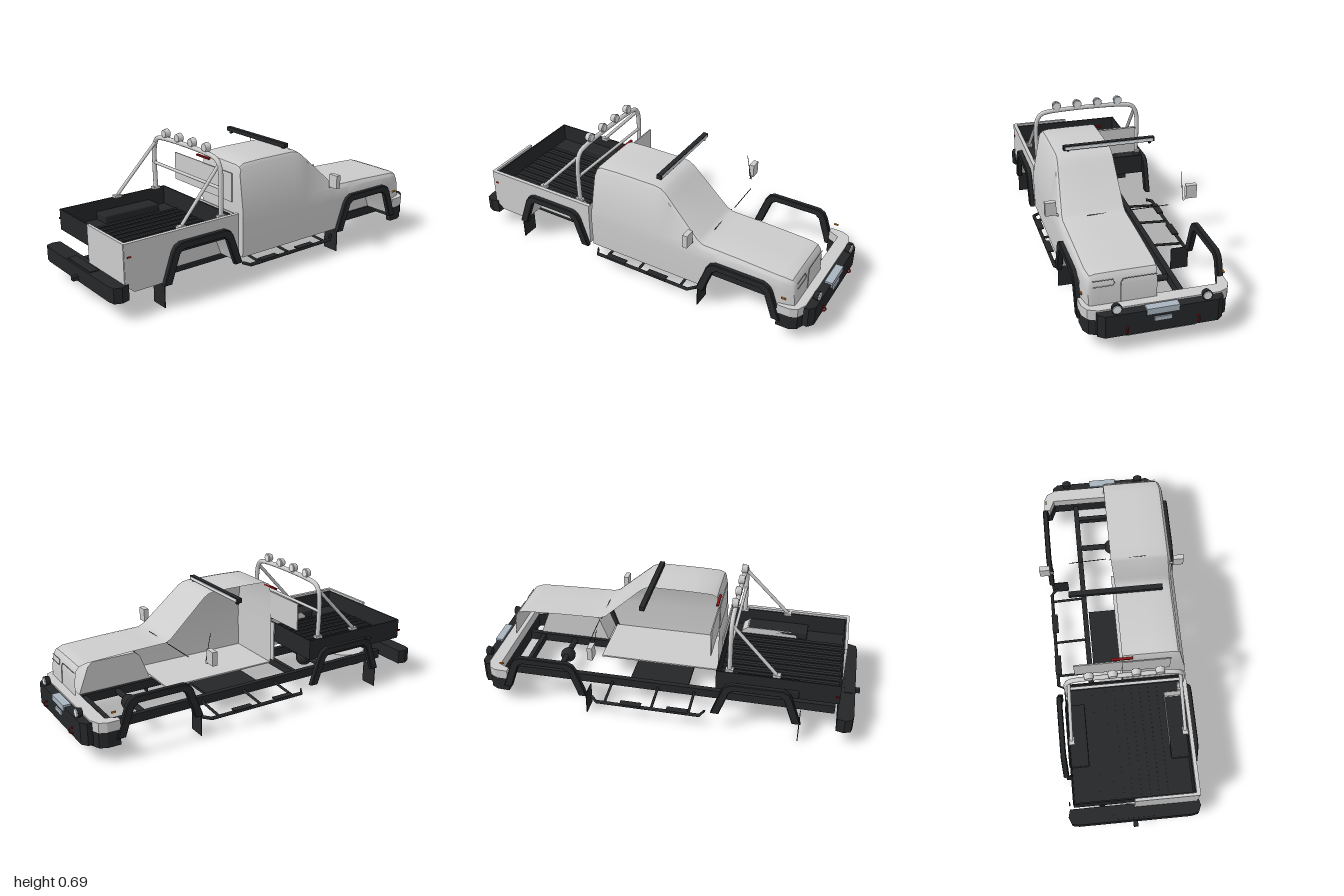
import * as THREE from 'three';
import { toCreasedNormals } from 'three/addons/utils/BufferGeometryUtils.js';
import { RoundedBoxGeometry } from 'three/addons/geometries/RoundedBoxGeometry.js';

const mat = (color, side = THREE.FrontSide) => new THREE.MeshStandardMaterial({ color, side });
const GREY = mat(0xcccccc), SHEET = mat(0xcccccc, THREE.DoubleSide);
const BLACK = mat(0x242628), LENS = mat(0xe4e8ec), SILVER = mat(0xa9b4c0);
const RED = mat(0x8a1212), AMBER = mat(0xd87a18);
const V = (x, y, z) => new THREE.Vector3(x, y, z);

// Half outline of a wheel arch, relative to the axle: [x, y]
const ARCH = [[-0.2, 0.12], [-0.145, 0.262], [-0.118, 0.284], [0.118, 0.284], [0.145, 0.262], [0.2, 0.12]];
const FRONT_AXLE = 0.61, REAR_AXLE = -0.49;
const archAt = cx => ARCH.map(([x, y]) => [x + cx, y]);

function lerpAt(table, x) {
  if (x <= table[0][0]) return table[0][1];
  for (let i = 1; i < table.length; i++) {
    const [x0, y0] = table[i - 1], [x1, y1] = table[i];
    if (x <= x1) return y0 + (y1 - y0) * (x - x0) / (x1 - x0);
  }
  return table[table.length - 1][1];
}

// Surface through equal-length rows of points
function loft(rows, crease = 0.6) {
  const n = rows[0].length, idx = [];
  for (let i = 0; i < rows.length - 1; i++) for (let j = 0; j < n - 1; j++) {
    const a = i * n + j, b = a + n;
    idx.push(a, a + 1, b, b, a + 1, b + 1);
  }
  const g = new THREE.BufferGeometry().setFromPoints(rows.flat());
  g.setIndex(idx);
  return toCreasedNormals(g, crease);
}

const shapeOf = pts => new THREE.Shape(pts.map(p => new THREE.Vector2(...p)));

export function createModel() {
  const model = new THREE.Group();
  const add = (name, geo, material, pos = [0, 0, 0], rot = [0, 0, 0]) => {
    const m = new THREE.Mesh(geo, material);
    m.name = name;
    m.position.set(...pos);
    m.rotation.set(...rot);
    model.add(m);
    return m;
  };
  // Box from min/max extents, optionally rounded
  const box = (name, material, x0, x1, y0, y1, z0, z1, r = 0) => {
    const s = [x1 - x0, y1 - y0, z1 - z0];
    return add(name, r ? new RoundedBoxGeometry(...s, 2, r) : new THREE.BoxGeometry(...s), material,
      [(x0 + x1) / 2, (y0 + y1) / 2, (z0 + z1) / 2]);
  };
  const tube = (name, pts, r, material, smooth = false) => {
    const v = pts.map(p => V(...p));
    let path;
    if (smooth) path = new THREE.CatmullRomCurve3(v, false, 'centripetal');
    else {
      path = new THREE.CurvePath();
      v.slice(1).forEach((p, i) => path.add(new THREE.LineCurve3(v[i], p)));
    }
    return add(name, new THREE.TubeGeometry(path, smooth ? 60 : 12, r, 10), material);
  };
  const SIDES = [1, -1];

  // Cab and bonnet: half shell on the +z side, lofted along x
  const top = [[-0.245, 0.36], [-0.242, 0.45], [-0.236, 0.56], [-0.228, 0.58], [-0.205, 0.593], [-0.1, 0.597], [0.11, 0.597],
    [0.145, 0.59], [0.17, 0.575], [0.2, 0.547], [0.37, 0.388], [0.4, 0.374], [0.6, 0.369], [0.83, 0.359],
    [0.865, 0.349], [0.88, 0.33], [0.888, 0.29], [0.893, 0.2]];
  const xs = [...new Set([...top, ...archAt(FRONT_AXLE)].map(p => p[0]))].sort((a, b) => a - b);
  const rows = xs.map(x => {
    const h = lerpAt(top, x), b = lerpAt(archAt(FRONT_AXLE), x);
    const nose = 0.02 * Math.max(0, (x - 0.8) / 0.09) ** 2;
    const w = y => 0.327 - Math.max(0, y - 0.36) * 0.15 - nose;
    const p = (z, y) => V(x, Math.max(y, b), z);
    const belt = Math.min(0.35, h - 0.03);
    return [p(0, h), p(w(h) * 0.5, h), p(w(h) - 0.04, h - 0.002), p(w(h) - 0.014, h - 0.008), p(w(h) - 0.003, h - 0.022),
      p(w(belt), belt), p(w(0) + 0.004, Math.min(0.29, h - 0.05)), p(w(0), 0.125)];
  });
  const flatten = row => row.map(v => V(v.x, v.y, 0));
  add('cabAndBonnet', loft([flatten(rows[0]), ...rows, flatten(rows[rows.length - 1])]), SHEET);
  box('cabFloor', GREY, -0.24, 0.4, 0.122, 0.13, 0, 0.32);
  box('rearWindow', GREY, -0.245, -0.239, 0.39, 0.536, -0.245, 0);
  box('rearWindowInnerHalf', GREY, -0.249, -0.244, 0.39, 0.536, 0, 0.245);
  box('highBrakeLight', RED, -0.245, -0.232, 0.56, 0.568, -0.053, 0.053);
  // Seams of the nose panels
  tube('grilleSeam', [[0.894, 0.21, 0.167], [0.89, 0.31, 0.167], [0.889, 0.32, 0.155], [0.889, 0.32, 0]], 0.002, GREY);
  tube('lampSeam', [[0.887, 0.323, 0.295], [0.887, 0.323, 0.2], [0.891, 0.295, 0.193], [0.891, 0.295, 0.295]], 0.002, GREY);

  // Wheel wells behind the arches
  for (const [cx, inner] of [[FRONT_AXLE, 0.17], [REAR_AXLE, 0.21]]) {
    const a = archAt(cx);
    add('wheelWell', loft([a.map(p => V(...p, inner)), a.map(p => V(...p, 0.32))]), SHEET);
    add('wheelWellWall', new THREE.ShapeGeometry(shapeOf(a)), SHEET, [0, 0, inner]);
  }

  // Load bed: outer side with arch, half tailgate and dark liner
  const side = shapeOf([[-0.905, 0.16], [-0.86, 0.12], ...archAt(REAR_AXLE), [-0.265, 0.12], [-0.265, 0.357], [-0.905, 0.357]]);
  add('bedSide', new THREE.ExtrudeGeometry(side, { depth: 0.02, bevelEnabled: false }), GREY, [0, 0, 0.305]);
  box('tailgate', GREY, -0.908, -0.893, 0.13, 0.357, 0, 0.322);
  box('bedFrontPanel', GREY, -0.272, -0.265, 0.13, 0.35, 0, 0.32);
  box('bedFloor', BLACK, -0.893, -0.28, 0.238, 0.248, -0.305, 0.305);
  for (const x of [-0.893, -0.287]) box('bedLinerEnd', BLACK, x, x + 0.007, 0.24, 0.345, -0.305, 0.305);
  for (const s of SIDES) {
    const z = s * 0.302;
    box('bedLinerSide', BLACK, -0.893, -0.28, 0.24, 0.345, z - 0.003, z + 0.003);
    box('bedWheelBox', BLACK, -0.695, -0.375, 0.24, 0.287, s > 0 ? 0.21 : -0.312, s > 0 ? 0.304 : -0.21, 0.008);
    box('tailMarker', RED, -0.89, -0.87, 0.287, 0.295, s * 0.324 - 0.003, s * 0.324 + 0.003);
  }
  for (let i = 0; i < 9; i++) box('floorRib', BLACK, -0.885, -0.29, 0.247, 0.254, -0.185 + i * 0.045, -0.165 + i * 0.045);

  // Fender flares, mud flaps, chassis rails, side steps, mirrors
  const outer = [[-0.222, 0.115], [-0.17, 0.262], [-0.155, 0.286], [-0.128, 0.3], [0.128, 0.3], [0.155, 0.286], [0.17, 0.262], [0.222, 0.115]];
  const inner = [[0.187, 0.115], [0.139, 0.252], [0.115, 0.271], [-0.115, 0.271], [-0.139, 0.252], [-0.187, 0.115]];
  const flare = new THREE.ExtrudeGeometry(shapeOf([...outer, ...inner]),
    { depth: 0.02, bevelSize: 0.004, bevelThickness: 0.004, bevelSegments: 1 });
  for (const s of SIDES) {
    for (const cx of [FRONT_AXLE, REAR_AXLE]) {
      add('fenderFlare', flare, BLACK, [cx, 0, s * 0.338 - 0.01]);
      const fx = cx - 0.219;
      box('mudFlap', BLACK, fx - 0.002, fx + 0.002, 0, 0.12, s * 0.2935 - 0.0465, s * 0.2935 + 0.0465);
    }
    box('chassisRail', BLACK, -0.88, 0.9, 0.075, 0.122, s * 0.165 - 0.014, s * 0.165 + 0.014);
    tube('sideStep', [[-0.225, 0.085, s * 0.31], [-0.235, 0.083, s * 0.33], [-0.215, 0.082, s * 0.344],
      [0.34, 0.082, s * 0.344], [0.365, 0.083, s * 0.332], [0.37, 0.085, s * 0.31]], 0.009, BLACK);
    for (const x of [-0.15, 0.045, 0.293]) tube('stepBracket', [[x, 0.095, s * 0.17], [x, 0.082, s * 0.344]], 0.007, BLACK);
    for (const x of [-0.09, 0.155]) box('stepPad', BLACK, x - 0.055, x + 0.055, 0.088, 0.094, s * 0.338 - 0.017, s * 0.338 + 0.017);
    box('mirror', GREY, 0.327, 0.353, 0.375, 0.445, s * 0.3585 - 0.0275, s * 0.3585 + 0.0275);
    tube('mirrorStalk', [[0.345, 0.366, s * 0.315], [0.34, 0.385, s * 0.345]], 0.006, GREY);
    box('sideMarker', AMBER, 0.83, 0.852, 0.241, 0.249, s * 0.333 - 0.003, s * 0.333 + 0.003);
  }
  for (const x of [-0.86, -0.3, 0.79]) box('crossMember', BLACK, x - 0.012, x + 0.012, 0.08, 0.118, -0.16, 0.16);
  box('gearboxGuard', BLACK, -0.105, 0.213, 0.064, 0.078, -0.145, 0.145);
  tube('antenna', [[0.348, 0.375, -0.313], [0.32, 0.512, -0.313]], 0.0015, BLACK);
  for (const [a, b] of [[-0.225, -0.025], [-0.01, 0.19]]) tube('wiper', [[0.39, 0.374, a], [0.396, 0.376, b]], 0.002, BLACK);

  // Axle housings and spare wheel
  add('rearDifferential', new THREE.SphereGeometry(0.046, 16, 12), BLACK, [-0.5, 0.09, 0.03]);
  add('frontDifferential', new THREE.SphereGeometry(0.041, 16, 12), BLACK, [0.605, 0.09, 0.02]);
  for (const x of [-0.5, 0.605]) tube('axle', [[x, 0.1, -0.15], [x, 0.1, 0.15]], 0.016, BLACK);
  add('spareWheel', new THREE.CylinderGeometry(0.127, 0.127, 0.065, 32), GREY, [-0.757, 0.075, 0]);

  // Bumper plan outlines extruded upwards: pairs of [x, z], mirrored over z
  const slab = (name, half, y0, y1, material) => {
    const pts = [...half, ...half.map(([x, z]) => [x, -z]).reverse()].map(([x, z]) => [x, -z]);
    const g = new THREE.ExtrudeGeometry(shapeOf(pts), { depth: y1 - y0, bevelEnabled: false });
    add(name, g.rotateX(-Math.PI / 2), material, [0, y0, 0]);
  };
  const wrap = [[0.87, 0.29], [0.815, 0.315], [0.815, 0.345], [0.88, 0.343], [0.915, 0.325], [0.935, 0.28]];
  slab('frontBumper', wrap, 0.155, 0.205, GREY);
  slab('frontBumperLower', wrap.map(([x, z]) => [x, z * 0.985]), 0.076, 0.155, BLACK);
  slab('winchBumper', [[0.92, 0.29], [0.955, 0.29], [0.978, 0.26]], 0.086, 0.197, BLACK);
  box('fairlead', SILVER, 0.945, 0.984, 0.176, 0.207, -0.075, 0.075);
  box('numberPlate', SILVER, 0.976, 0.985, 0.14, 0.161, -0.04, 0.04);
  const skid = [[0.81, 0.066], [0.955, 0.08]];
  add('skidPlate', loft([-0.162, 0.162].map(z => skid.map(p => V(...p, z)))), SHEET);
  box('skidLip', SILVER, 0.95, 0.962, 0.07, 0.082, -0.162, 0.162);
  slab('rearBumper', [[-0.89, 0.33], [-0.93, 0.34], [-0.965, 0.325], [-0.972, 0.29]], 0.09, 0.165, BLACK);
  box('rearBumperStep', BLACK, -0.962, -0.915, 0.163, 0.169, -0.11, 0.11);
  box('towHitch', BLACK, -1, -0.96, 0.098, 0.118, -0.012, 0.012);

  // Round lamps facing forward
  const lamp = (name, x, y, z, r) => {
    const turn = [0, 0, -Math.PI / 2];
    add(name + 'Housing', new THREE.CylinderGeometry(r, r * 0.8, 0.026, 12), name === 'fogLamp' ? BLACK : GREY, [x, y, z], turn);
    add(name + 'Lens', new THREE.CylinderGeometry(r * 0.82, r * 0.86, 0.006, 8), LENS, [x + 0.015, y, z], turn);
  };
  for (const s of SIDES) {
    lamp('fogLamp', 0.958, 0.222, s * 0.207, 0.025);
    add('towHook', new THREE.TorusGeometry(0.014, 0.004, 8, 16), RED, [0.982, 0.118, s * 0.165]);
  }
  for (const z of [-0.172, -0.057, 0.057, 0.172]) lamp('barLamp', -0.347, 0.667, z, 0.025);

  // Roll bar with diagonal stays
  const half = [[0.284, 0.352], [0.288, 0.45], [0.288, 0.545], [0.28, 0.59], [0.262, 0.62], [0.23, 0.633]];
  tube('rollHoop', [...half, ...half.map(([z, y]) => [-z, y]).reverse()].map(([z, y]) => [-0.345, y, z]), 0.012, GREY, true);
  tube('rollCrossBar', [[-0.345, 0.49, -0.285], [-0.345, 0.49, 0.285]], 0.008, GREY);
  for (const s of SIDES) {
    tube('rollStay', [[-0.345, 0.605, s * 0.272], [-0.575, 0.358, s * 0.288]], 0.009, GREY);
    for (const x of [-0.345, -0.578]) box('rollBarFoot', GREY, x - 0.02, x + 0.02, 0.345, 0.358, s * 0.287 - 0.014, s * 0.287 + 0.014);
  }

  // Roof light bar
  box('roofLightBar', BLACK, 0.095, 0.12, 0.602, 0.624, -0.237, 0.237);
  box('roofLightLens', LENS, 0.118, 0.123, 0.606, 0.62, -0.228, 0.228);
  for (const s of SIDES) box('lightBarFoot', BLACK, 0.1, 0.115, 0.59, 0.604, s * 0.214 - 0.006, s * 0.214 + 0.006);
  return model;
}
